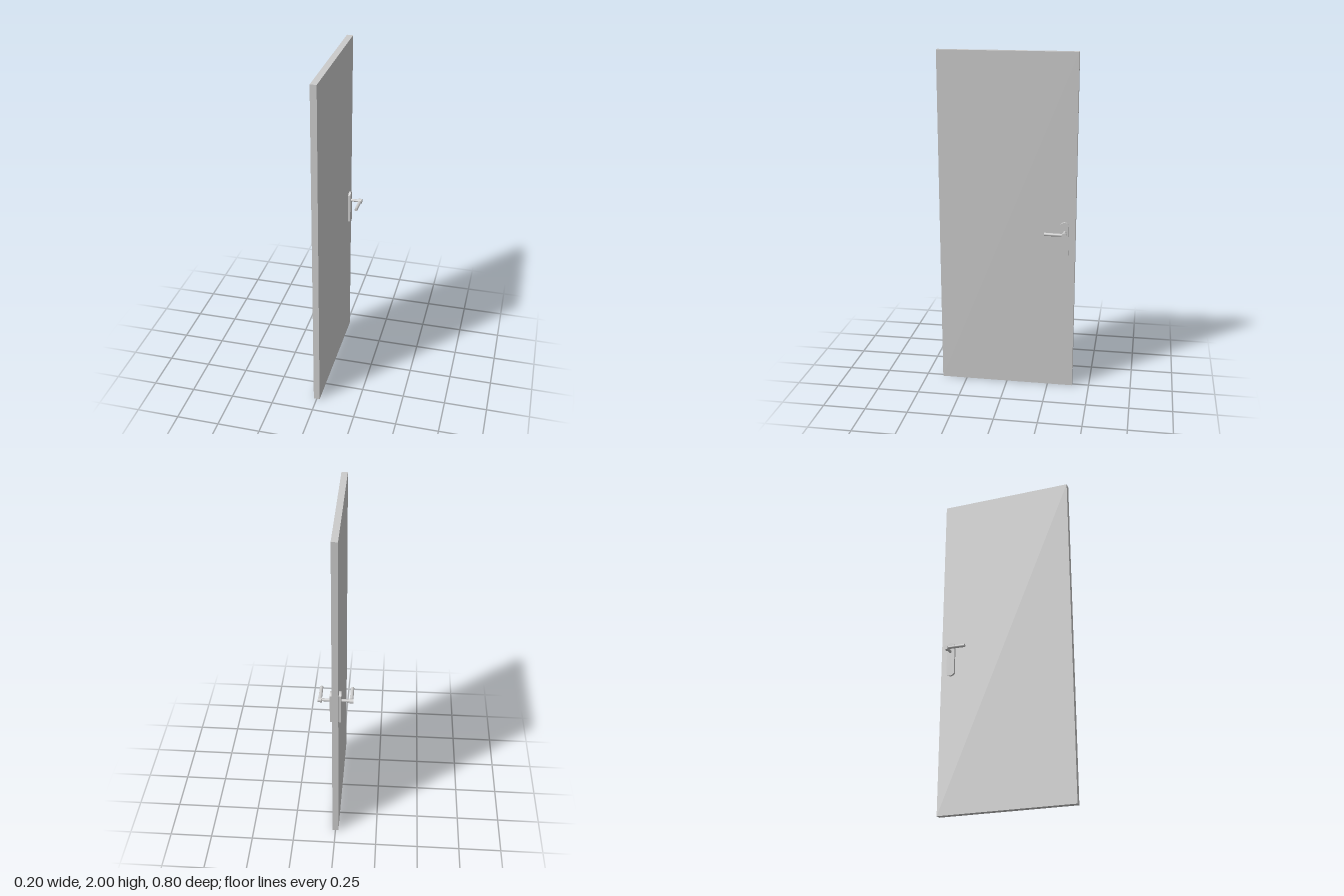
import * as THREE from 'three';

const material = new THREE.MeshStandardMaterial({ color: 0xcccccc });
const HANDLE_Y = 0.975, HANDLE_Z = -0.34;

function add(parent, name, geometry, x, y, z) {
  const mesh = new THREE.Mesh(geometry, material);
  mesh.name = name;
  mesh.position.set(x, y, z);
  parent.add(mesh);
  return mesh;
}

// Tall plate with gently arched ends, extruded along x
function plateGeometry() {
  const w = 0.024, side = 0.092, peak = 0.118;
  const shape = new THREE.Shape();
  shape.moveTo(-w, -side);
  shape.quadraticCurveTo(0, -peak, w, -side);
  shape.lineTo(w, side);
  shape.quadraticCurveTo(0, peak, -w, side);
  shape.closePath();
  const depth = 0.016;
  return new THREE.ExtrudeGeometry(shape, { depth, bevelEnabled: false, curveSegments: 12 })
    .translate(0, 0, -depth / 2)
    .rotateY(Math.PI / 2);
}

// Lever bar along z: flattened at the head, fuller at the tip
function leverGeometry() {
  const length = 0.114;
  const g = new THREE.CylinderGeometry(1, 1, length, 24, 4).rotateX(Math.PI / 2);
  const p = g.attributes.position;
  for (let i = 0; i < p.count; i++) {
    const t = p.getZ(i) / length + 0.5;
    p.setXY(i, p.getX(i) * (0.0103 - 0.0008 * t), p.getY(i) * (0.007 + 0.003 * t));
  }
  g.computeVertexNormals();
  return g;
}

function createHandle(side) {
  const handle = new THREE.Group();
  handle.name = side > 0 ? 'leftHandle' : 'rightHandle';
  add(handle, 'backPlate', plateGeometry(), side * 0.024, 0.927, -0.338);
  const neck = new THREE.CylinderGeometry(0.0085, 0.0085, 0.055, 24).rotateZ(Math.PI / 2);
  add(handle, 'neck', neck, side * 0.0555, HANDLE_Y, HANDLE_Z);
  const head = new THREE.CylinderGeometry(0.0135, 0.0135, 0.022, 28).rotateZ(Math.PI / 2);
  add(handle, 'head', head, side * 0.088, HANDLE_Y, HANDLE_Z - 0.002);
  add(handle, 'lever', leverGeometry(), side * 0.0875, HANDLE_Y, -0.283);
  return handle;
}

export function createModel() {
  const model = new THREE.Group();
  model.name = 'door';
  add(model, 'doorPanel', new THREE.BoxGeometry(0.036, 2, 0.8), 0, 1, 0);
  for (const side of [1, -1]) model.add(createHandle(side));
  return model;
}
